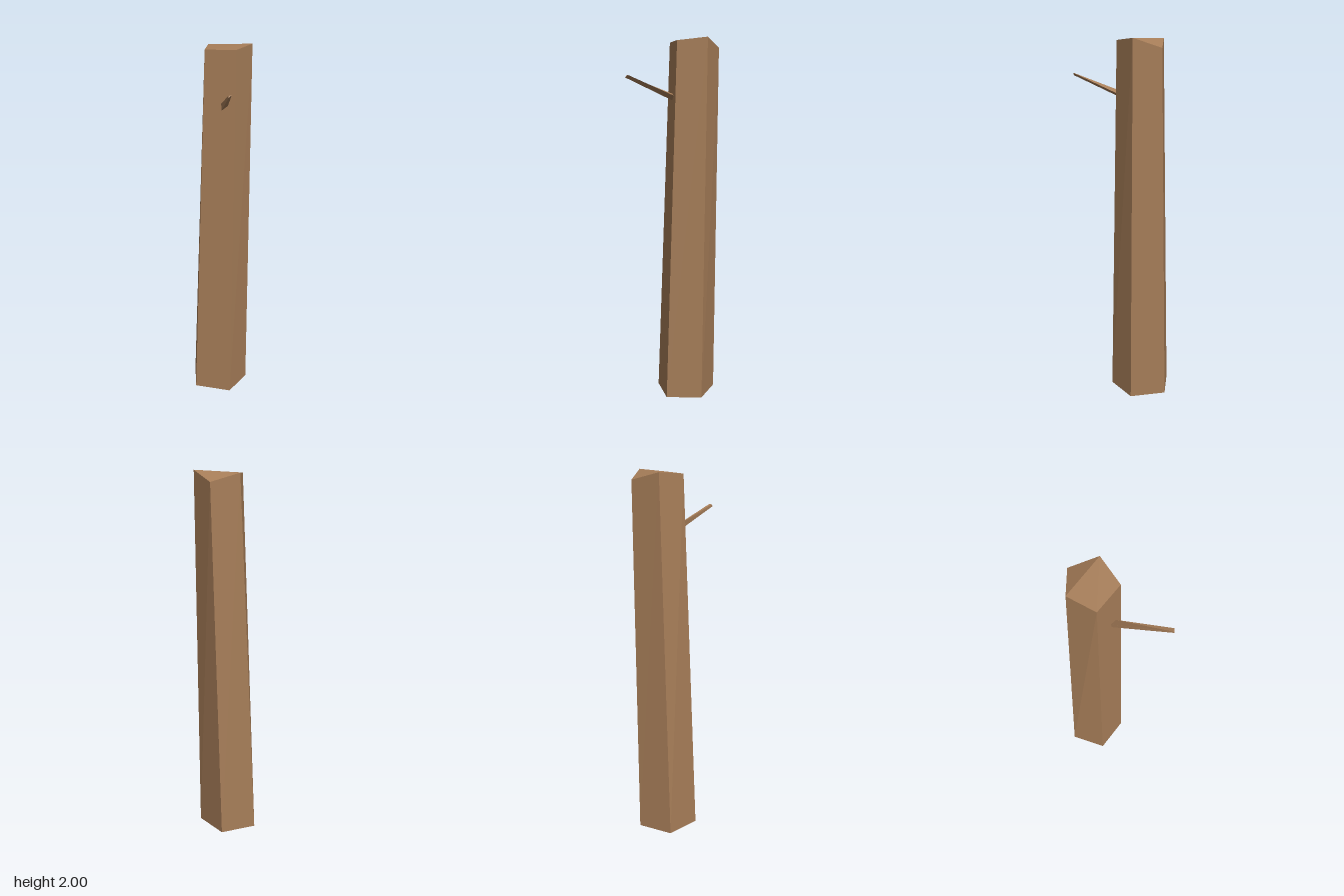
import * as THREE from 'three';

// Skin between two matching rings, closed at the far end with a fan from its first corner
function loft(name, start, end, material) {
  const pos = [];
  const n = start.length;
  const tri = (...points) => points.forEach((p) => pos.push(...p));
  for (let i = 0; i < n; i++) {
    const j = (i + 1) % n;
    tri(start[i], start[j], end[j]);
    tri(start[i], end[j], end[i]);
  }
  for (let i = 1; i < n - 1; i++) tri(end[0], end[i], end[i + 1]);
  const geometry = new THREE.BufferGeometry();
  geometry.setAttribute('position', new THREE.Float32BufferAttribute(pos, 3));
  geometry.computeVertexNormals();
  const mesh = new THREE.Mesh(geometry, material);
  mesh.name = name;
  return mesh;
}

export function createModel() {
  const group = new THREE.Group();
  group.name = 'deadTree';
  const bark = new THREE.MeshStandardMaterial({
    name: 'bark', color: 0xa67d58, flatShading: true, side: THREE.DoubleSide,
  });

  // Leaning five-sided trunk, open underneath, with a skewed cut on top
  group.add(loft('trunk',
    [[0.1, 0, -0.163], [-0.087, 0, -0.235], [-0.213, 0, -0.08], [-0.1, 0, 0.09], [0.101, 0, 0.035]],
    [[0.102, 2, -0.183], [-0.033, 1.95, -0.246], [-0.132, 1.99, -0.12], [-0.068, 1.98, 0.02], [0.095, 1.983, -0.022]],
    bark));

  // Thin three-sided twig
  group.add(loft('twig',
    [[0.022, 1.707, 0.005], [0.024, 1.67, 0.003], [0.058, 1.697, -0.003]],
    [[0.199, 1.8, 0.237], [0.203, 1.79, 0.243], [0.213, 1.803, 0.228]],
    bark));

  return group;
}
